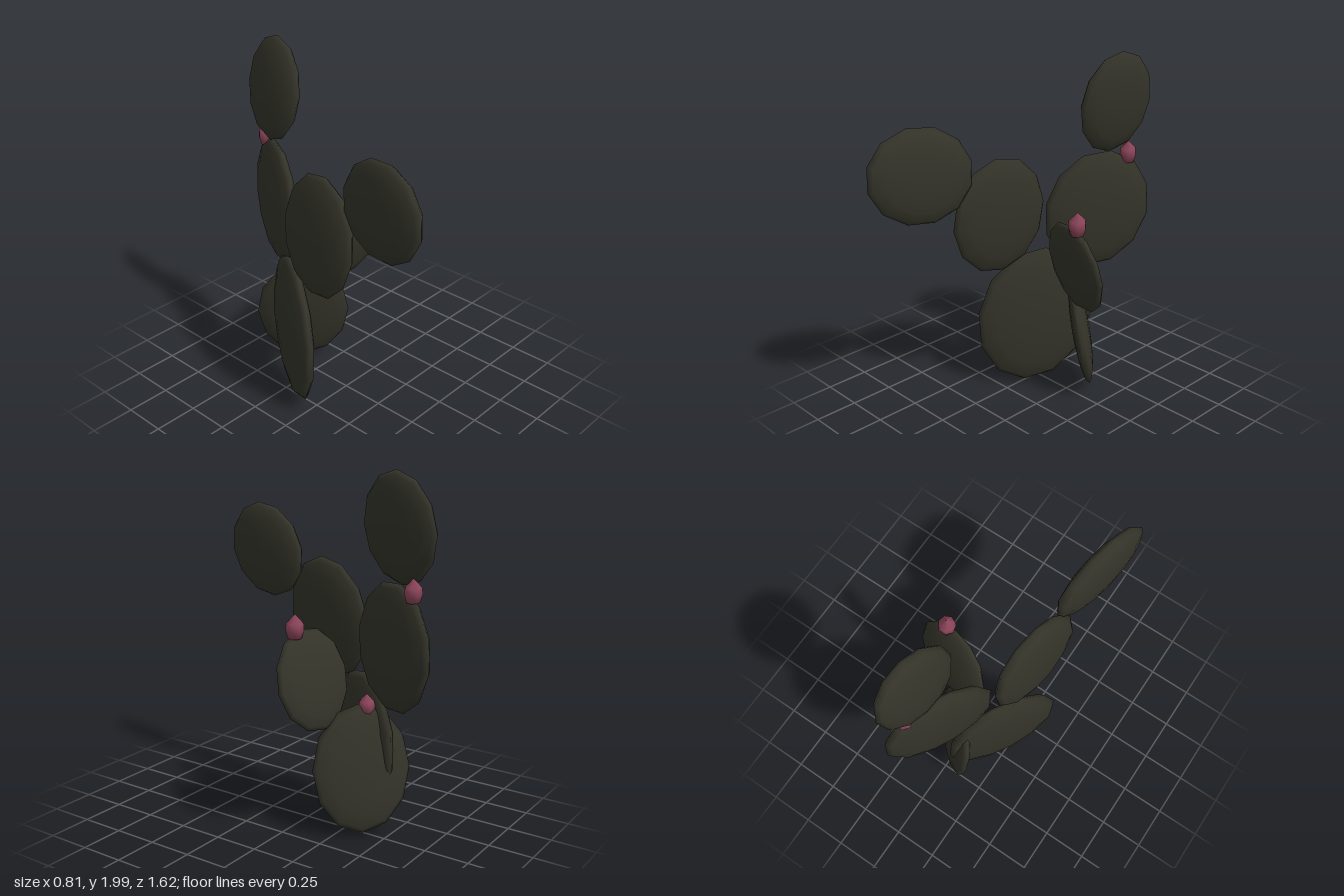
import * as THREE from 'three';

const padGeometry = new THREE.SphereGeometry(1, 12, 8);

// Flattened oval pad: 'up' is its long axis, 'side' its wide axis
function makePad(name, material, { at, up, side, size }) {
  const u = new THREE.Vector3(...up).normalize();
  const s = new THREE.Vector3(...side);
  s.addScaledVector(u, -s.dot(u)).normalize();
  const n = new THREE.Vector3().crossVectors(u, s);
  const pad = new THREE.Mesh(padGeometry, material);
  pad.name = name;
  pad.quaternion.setFromRotationMatrix(new THREE.Matrix4().makeBasis(s, n, u));
  pad.scale.set(size[1], size[2], size[0]);
  pad.position.set(...at);
  return pad;
}

export function createModel() {
  const group = new THREE.Group();
  group.name = 'pricklyPearCactus';

  const green = new THREE.MeshStandardMaterial({ color: 0x34342a });
  green.name = 'darkCactusGreen';
  const pink = new THREE.MeshStandardMaterial({ color: 0x8a4459 });
  pink.name = 'fruitPink';

  // Pads; size = half length, half width, half thickness
  const pads = {
    mainBasePad: { at: [-0.22, 0.44, -0.205], up: [0.07, 0.86, -0.11], side: [0.48, 0, -0.87], size: [0.432, 0.345, 0.068] },
    smallBasePad: { at: [0.01, 0.39, -0.355], up: [-0.09, 0.7, 0.08], side: [0.7, 0, 0.7], size: [0.355, 0.268, 0.052] },
    frontMiddlePad: { at: [-0.255, 1.125, 0.035], up: [0.04, 0.69, 0.08], side: [0.18, 0, -0.98], size: [0.348, 0.295, 0.065] },
    frontTopPad: { at: [-0.32, 1.455, 0.518], up: [-0.2, 0.33, 0.92], side: [0.07, 0.95, -0.33], size: [0.312, 0.265, 0.064] },
    backMiddlePad: { at: [-0.025, 1.08, -0.515], up: [0.08, 0.7, -0.12], side: [0.44, 0, -0.9], size: [0.355, 0.32, 0.064] },
    backTopPad: { at: [0.04, 1.71, -0.575], up: [0.14, 0.99, 0], side: [0.2, 0, -0.98], size: [0.293, 0.237, 0.062] },
    sidePad: { at: [0.16, 0.89, -0.14], up: [0.05, 0.52, 0.13], side: [0.97, 0, 0.22], size: [0.28, 0.245, 0.052] },
  };
  for (const [name, spec] of Object.entries(pads)) group.add(makePad(name, green, spec));

  // Small pointed fruits on the pad rims
  const profile = [[0, -0.065], [0.036, -0.06], [0.05, -0.015], [0.047, 0.022], [0, 0.07]]
    .map(([r, y]) => new THREE.Vector2(r, y));
  const fruitGeometry = new THREE.LatheGeometry(profile, 7);
  const fruits = {
    sideFruit: [0.23, 1.18, -0.075, 1],
    backFruit: [0.06, 1.41, -0.67, 0.95],
    baseFruit: [-0.06, 0.73, -0.34, 0.9],
  };
  for (const [name, [x, y, z, s]] of Object.entries(fruits)) {
    const fruit = new THREE.Mesh(fruitGeometry, pink);
    fruit.name = name;
    fruit.position.set(x, y, z);
    fruit.scale.setScalar(s);
    group.add(fruit);
  }
  return group;
}
